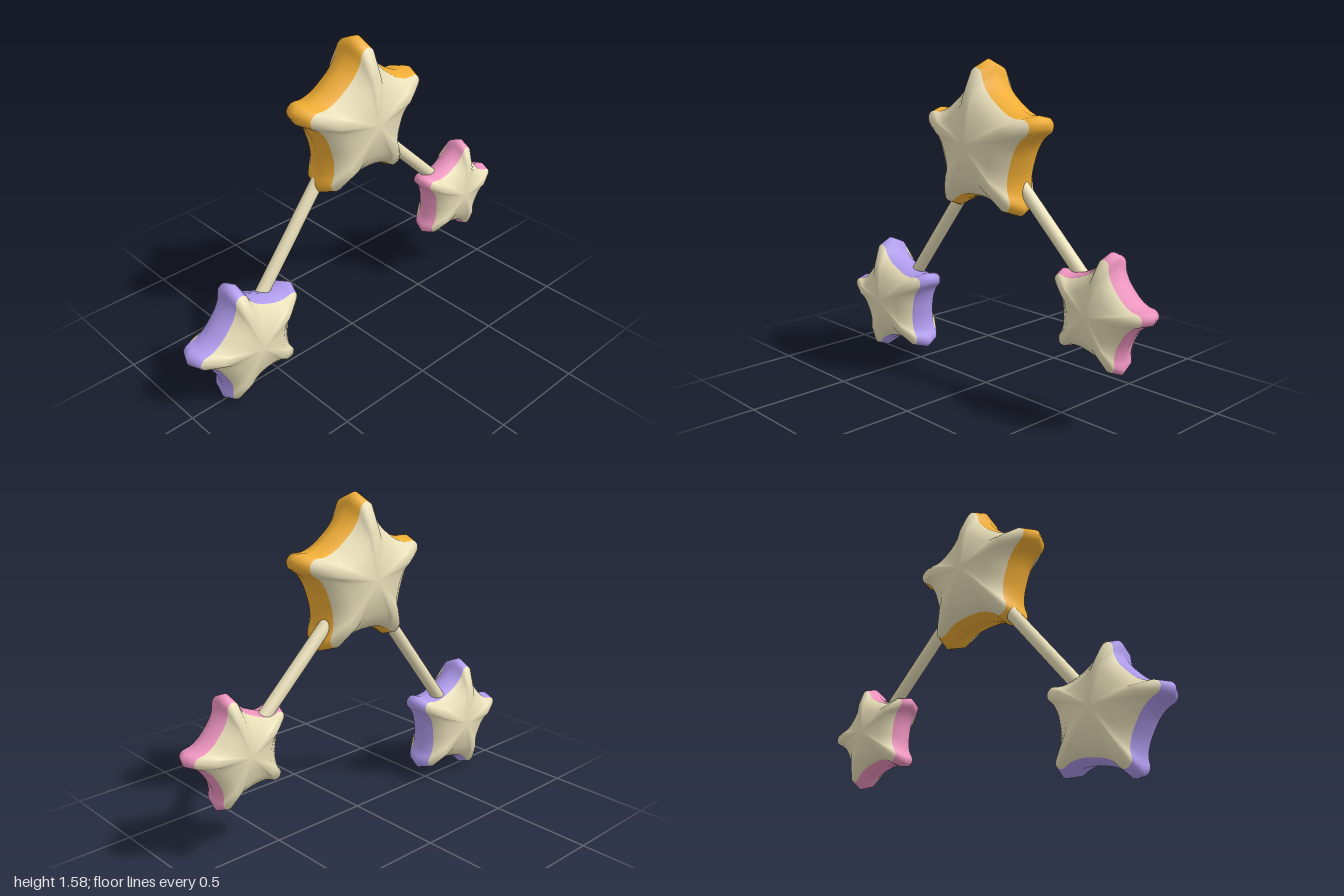
import * as THREE from 'three';

const CREAM = 0xe9dfb9;
const material = (color) => new THREE.MeshStandardMaterial({ color });

// Unit star outline with rounded tips and shallow hollow sides
function starOutline(samples) {
  const rad = [[0, 1], [5.5, 0.955], [10, 0.815], [20, 0.705], [36, 0.665], [52, 0.705], [62, 0.815], [66.5, 0.955]];
  const points = [];
  for (let tip = 0; tip < 5; tip++) {
    for (const [deg, r] of rad) {
      const a = THREE.MathUtils.degToRad(90 + tip * 72 + deg);
      points.push(new THREE.Vector3(r * Math.cos(a), r * Math.sin(a), 0));
    }
  }
  return new THREE.CatmullRomCurve3(points, true).getPoints(samples).slice(0, samples);
}

// Puffy star: the outline shrinks towards a pole on the front and the back.
// Shell and band share vertices and normals so the colour edge stays smooth.
function makeStar(name, x, y, radius, tilt, color) {
  const n = 120;
  const outline = starOutline(n);
  const rings = [[-0.87, 0.615], [-0.5, 0.908], [0, 1], [0.5, 0.908], [0.87, 0.615]];
  const depth = 0.418;
  const positions = [];
  for (const [z, s] of rings) {
    for (const p of outline) positions.push(p.x * s, p.y * s, z * depth);
  }
  const back = rings.length * n;
  const front = back + 1;
  positions.push(0, 0, -depth, 0, 0, depth);

  const shell = [];
  const band = [];
  for (let i = 0; i < n; i++) {
    const j = (i + 1) % n;
    for (let k = 0; k < rings.length - 1; k++) {
      const a = k * n + i, b = k * n + j, c = b + n, d = a + n;
      (k === 1 || k === 2 ? band : shell).push(a, b, c, a, c, d);
    }
    const last = (rings.length - 1) * n;
    shell.push(back, j, i, front, last + i, last + j);
  }

  const whole = new THREE.BufferGeometry();
  whole.setAttribute('position', new THREE.Float32BufferAttribute(positions, 3));
  whole.setIndex([...shell, ...band]);
  whole.computeVertexNormals();

  const star = new THREE.Group();
  star.name = name;
  for (const [part, index, tint] of [['Shell', shell, CREAM], ['Band', band, color]]) {
    const geometry = new THREE.BufferGeometry();
    geometry.setAttribute('position', whole.getAttribute('position'));
    geometry.setAttribute('normal', whole.getAttribute('normal'));
    geometry.setIndex(index);
    const mesh = new THREE.Mesh(geometry, material(tint));
    mesh.name = name + part;
    star.add(mesh);
  }
  star.position.set(x, y, 0);
  star.rotation.z = THREE.MathUtils.degToRad(tilt);
  star.scale.setScalar(radius);
  return star;
}

// Straight rod between two star centres, set slightly towards the back
function makeRod(name, from, to) {
  const a = from.position, b = to.position;
  const rod = new THREE.Mesh(new THREE.CylinderGeometry(0.032, 0.032, a.distanceTo(b), 20), material(CREAM));
  rod.name = name;
  rod.position.addVectors(a, b).multiplyScalar(0.5);
  rod.position.z = -0.028;
  rod.quaternion.setFromUnitVectors(new THREE.Vector3(0, 1, 0), b.clone().sub(a).normalize());
  return rod;
}

export function createModel() {
  const model = new THREE.Group();
  model.name = 'linkedStars';
  const top = makeStar('topStar', 0.018, 1.19, 0.387, 0, 0xf2ae35);
  const right = makeStar('rightStar', -0.674, 0.297, 0.325, 11.8, 0xae9aec);
  const left = makeStar('leftStar', 0.719, 0.528, 0.28, -12, 0xee94bf);
  model.add(top, right, left, makeRod('rightRod', top, right), makeRod('leftRod', top, left));
  return model;
}
